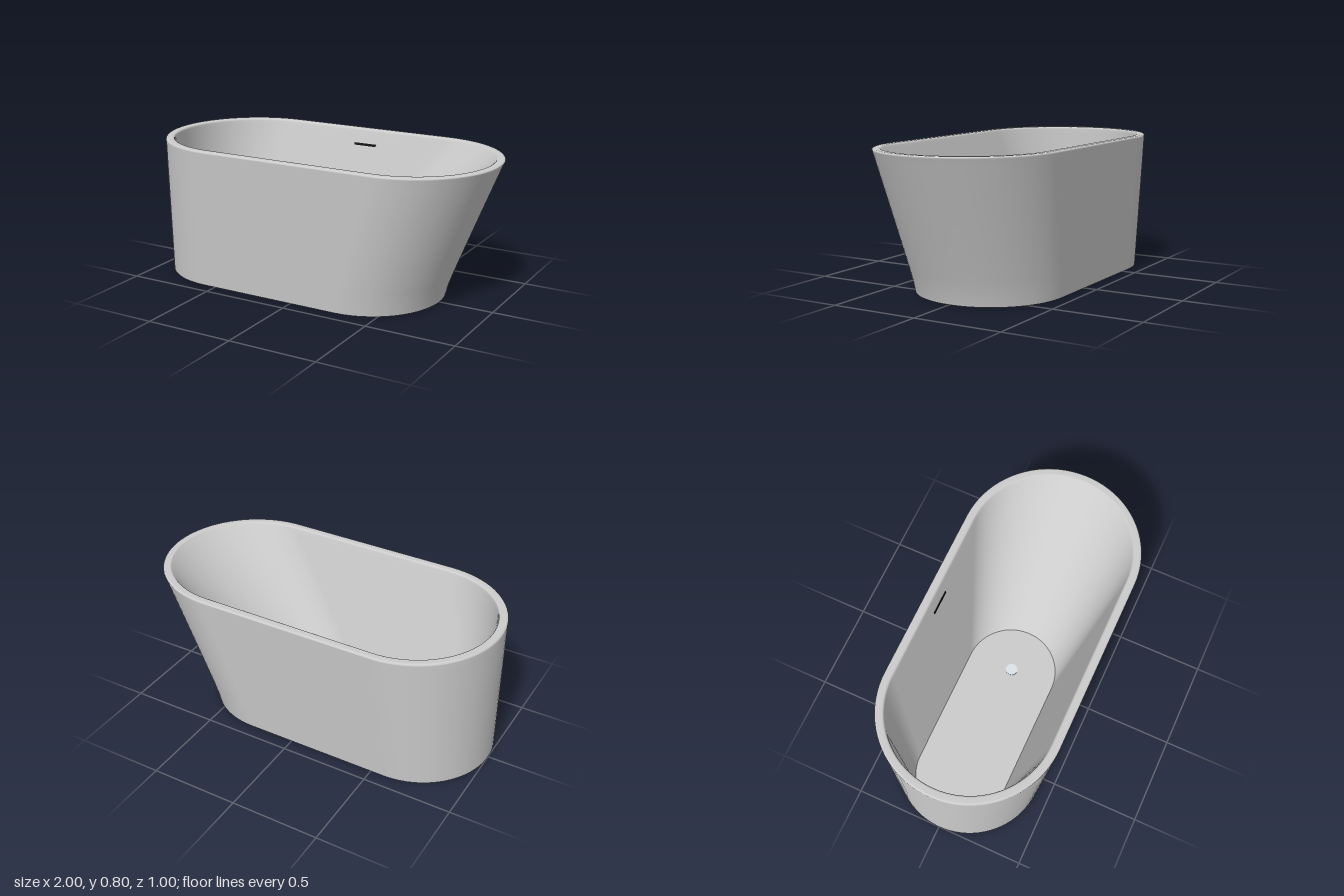
import * as THREE from 'three';

const ARC = 40; // segments per rounded end

// Stadium outline from x = l to x = r with half width h
function outline(l, r, h) {
  const pts = [];
  for (const [cx, start] of [[r - h, -Math.PI / 2], [l + h, Math.PI / 2]]) {
    for (let i = 0; i <= ARC; i++) {
      const a = start + (i / ARC) * Math.PI;
      pts.push([cx + h * Math.cos(a), h * Math.sin(a)]);
    }
  }
  return pts;
}

// Smooth skin through closed rings given as [y, left, right, halfWidth]
function loft(rows) {
  const pos = [], index = [], n = 2 * (ARC + 1);
  rows.forEach(([y, l, r, h], j) => {
    outline(l, r, h).forEach(([x, z], i) => {
      pos.push(x, y, z);
      if (j === rows.length - 1) return;
      const a = j * n + i, b = j * n + (i + 1) % n;
      index.push(a, a + n, b, b, a + n, b + n);
    });
  });
  const geo = new THREE.BufferGeometry();
  geo.setAttribute('position', new THREE.Float32BufferAttribute(pos, 3));
  geo.setIndex(index);
  geo.computeVertexNormals();
  return geo;
}

// Flat stadium plate facing up or down
function plate([y, l, r, h], up) {
  const shape = new THREE.Shape(outline(l, r, h).map(([x, z]) => new THREE.Vector2(x, z)));
  return new THREE.ShapeGeometry(shape).rotateX(up ? -Math.PI / 2 : Math.PI / 2).translate(0, y, 0);
}

const mix = (a, b, t) => a.map((v, i) => v + (b[i] - v) * t);

export function createModel() {
  const group = new THREE.Group();
  const grey = new THREE.MeshStandardMaterial({ color: 0xcccccc });
  const add = (name, geo, mat = grey) => {
    const mesh = new THREE.Mesh(geo, mat);
    mesh.name = name;
    group.add(mesh);
    return mesh;
  };

  const F = 0.012; // rim rounding
  const base = [0, -1, 0.692, 0.424];
  const shoulder = [0.8 - F, -1, 0.996, 0.499];
  const innerTop = [0.8 - F, -0.95, 0.945, 0.449];
  const floor = [0.11, -0.95, 0.25, 0.26];

  // Outer wall, with the sloping end kicking in slightly at the foot
  const rows = [base, [0.06, -1, 0.708, 0.43], [0.135, -1, 0.735, 0.437], [0.3, -1, 0.8, 0.453],
    [0.55, -1, 0.9, 0.477], [0.75, -1, 0.981, 0.495], shoulder];
  // Rounded rim: over the outer edge, then over the inner one
  for (let i = 1; i <= 4; i++) {
    const a = (i / 4) * Math.PI / 2, d = F * (1 - Math.cos(a));
    rows.push([0.8 - F + F * Math.sin(a), -1 + d, 1 - d, 0.5 - d]);
  }
  for (let i = 0; i < 4; i++) {
    const a = (i / 4) * Math.PI / 2, d = 0.05 - F + F * Math.sin(a);
    rows.push([0.8 - F + F * Math.cos(a), -1 + d, 1 - d, 0.5 - d]);
  }
  // Inner wall down to the floor
  for (let i = 0; i <= 12; i++) rows.push(mix(innerTop, floor, i < 2 ? i * 0.03 : i / 12));

  add('tubShell', loft(rows));
  add('tubFloor', plate(floor, true));
  add('tubUnderside', plate(base, false));

  // Drain disc in the floor
  add('drain', new THREE.CylinderGeometry(0.034, 0.034, 0.004, 32),
    new THREE.MeshStandardMaterial({ color: 0xdde4ea })).position.set(0, floor[0] + 0.001, 0);

  // Overflow slot lying on the back inner wall
  const slot = add('overflowSlot', new THREE.BoxGeometry(0.14, 0.014, 0.006),
    new THREE.MeshStandardMaterial({ color: 0x111111 }));
  slot.position.set(0, 0.71, -0.428);
  slot.rotation.x = -0.27;

  return group;
}
